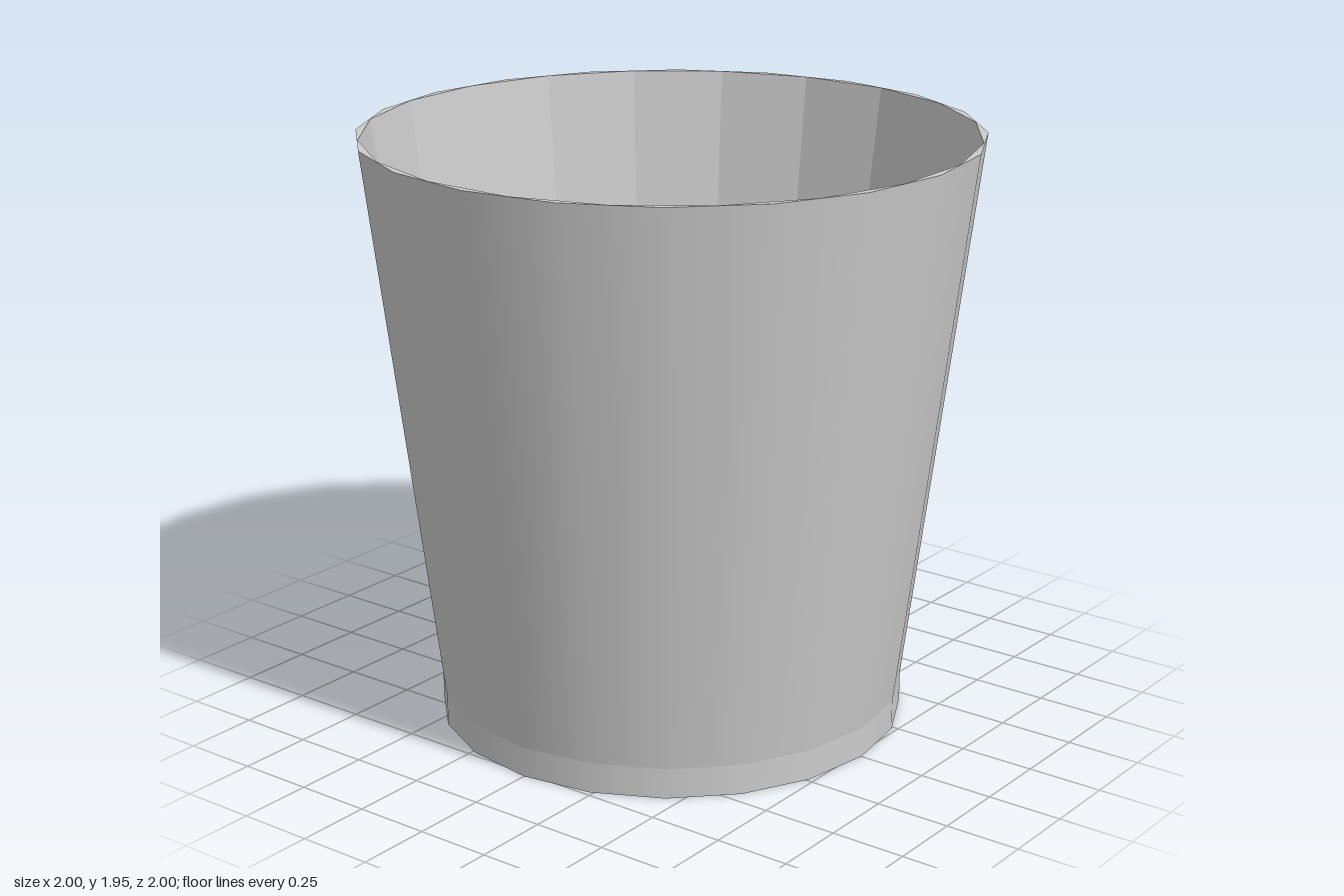
import * as THREE from 'three';

const SIDES = 20;
const HALF_STEP = Math.PI / SIDES;
const HEIGHT = 1.95, BASE_TOP = 0.1;
const RIM_R = 1, BASE_R = 0.77;
const INNER_RIM_R = 0.985, FLOOR_R = 0.725;

// Corner points of a regular polygon
function ring(radius, turn) {
  return Array.from({ length: SIDES }, (_, i) => {
    const a = i * 2 * HALF_STEP + turn;
    return new THREE.Vector2(radius * Math.cos(a), radius * Math.sin(a));
  });
}

export function createModel() {
  const group = new THREE.Group();
  const smooth = new THREE.MeshStandardMaterial({ color: 0xcccccc });
  const flat = new THREE.MeshStandardMaterial({ color: 0xcccccc, flatShading: true });
  const inside = new THREE.MeshStandardMaterial({ color: 0xcccccc, flatShading: true, side: THREE.BackSide });

  function add(name, geometry, material, y = 0) {
    const mesh = new THREE.Mesh(geometry, material);
    mesh.name = name;
    mesh.position.y = y;
    group.add(mesh);
    return mesh;
  }

  // Open tapered tube standing between two heights
  function tube(topR, bottomR, y0, y1) {
    return new THREE.CylinderGeometry(topR, bottomR, y1 - y0, SIDES, 1, true)
      .translate(0, (y0 + y1) / 2, 0);
  }

  // Outside: flared wall over a short straight foot
  add('outerWall', tube(RIM_R, BASE_R, BASE_TOP, HEIGHT), smooth);
  add('foot', tube(BASE_R, BASE_R, 0, BASE_TOP), smooth);
  add('underside', new THREE.CircleGeometry(BASE_R, SIDES).rotateX(Math.PI / 2), flat);

  // Inside: faceted wall turned by half a side, down to the floor
  add('innerWall', tube(INNER_RIM_R, FLOOR_R, BASE_TOP, HEIGHT).rotateY(HALF_STEP), inside);
  add('floor', new THREE.CircleGeometry(FLOOR_R, SIDES).rotateX(-Math.PI / 2).rotateY(HALF_STEP), flat, BASE_TOP);

  // Thin rim joining the two walls
  const rim = new THREE.Shape(ring(RIM_R, 0));
  rim.holes.push(new THREE.Path(ring(INNER_RIM_R, HALF_STEP)));
  add('rim', new THREE.ShapeGeometry(rim).rotateX(-Math.PI / 2), flat, HEIGHT);

  return group;
}
